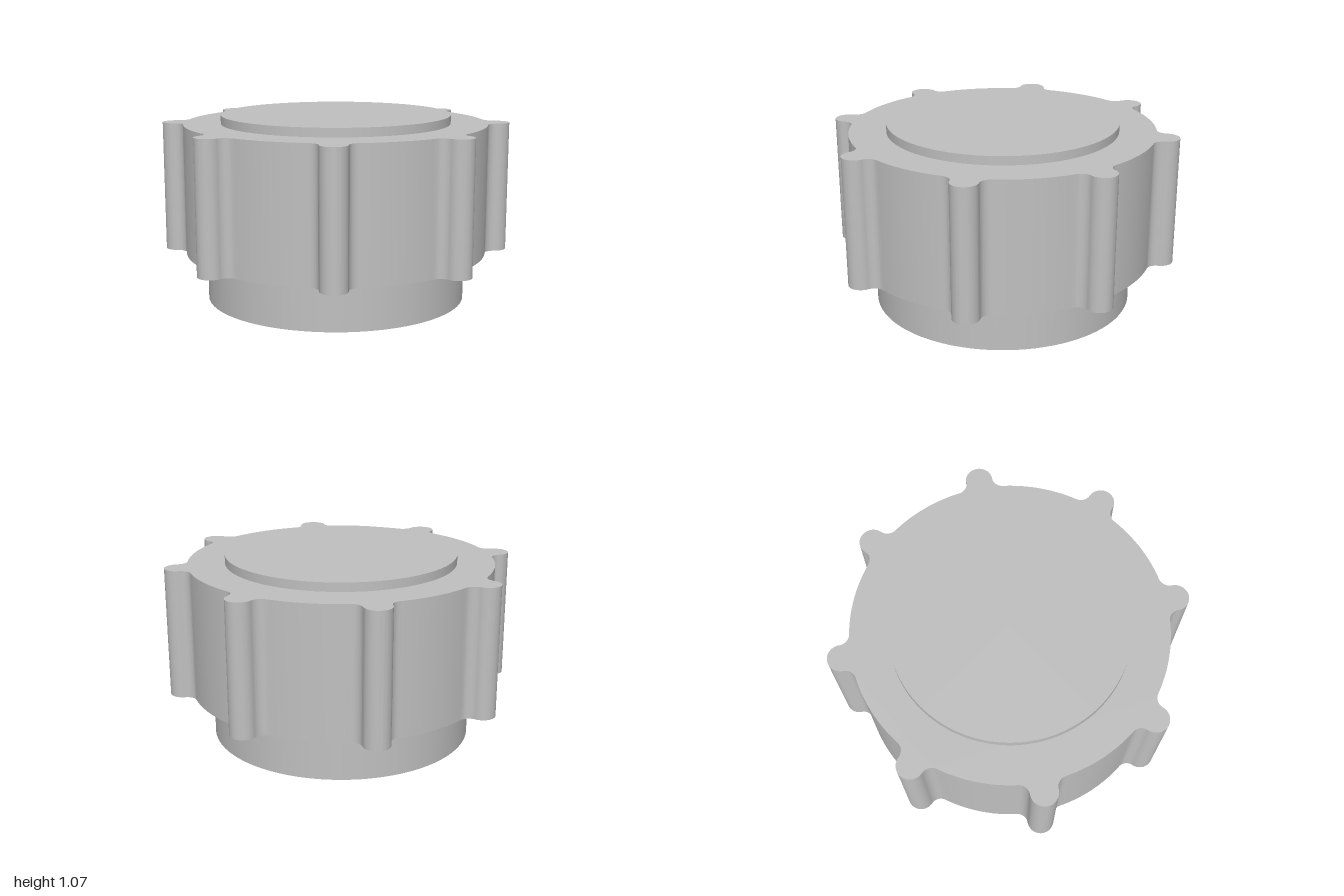
import * as THREE from 'three';
import { toCreasedNormals } from 'three/addons/utils/BufferGeometryUtils.js';

const BODY_RADIUS = 0.872;
const LOBE_RADIUS = 0.075;
const LOBE_CENTRE = 0.925;
const FILLET = 0.06;
const LOBES = 8;

// Outline of the grip: round lobes blended into a disc by concave fillets
function gripOutline() {
  const side = LOBE_RADIUS + FILLET;
  const reach = BODY_RADIUS + FILLET;
  const along = Math.sqrt(reach * reach - side * side);
  const spread = Math.asin(side / reach);
  const shape = new THREE.Shape();
  for (let i = 0; i < LOBES; i++) {
    const a = (i / LOBES) * Math.PI * 2;
    const at = (r, s) => [r * Math.cos(a) - s * Math.sin(a), r * Math.sin(a) + s * Math.cos(a)];
    // fillet into the lobe, lobe tip, fillet back to the disc
    shape.absarc(...at(along, -side), FILLET, a + Math.PI - spread, a + Math.PI / 2, true);
    shape.absarc(...at(LOBE_CENTRE, 0), LOBE_RADIUS, a - Math.PI / 2, a + Math.PI / 2, false);
    shape.absarc(...at(along, side), FILLET, a - Math.PI / 2, a - Math.PI + spread, true);
    // disc edge up to the next lobe
    shape.absarc(0, 0, BODY_RADIUS, a + spread, a + (Math.PI * 2) / LOBES - spread, false);
  }
  return shape;
}

export function createModel() {
  const group = new THREE.Group();
  group.name = 'knob';
  const grey = new THREE.MeshStandardMaterial({ color: 0xc0c0c0 });
  grey.name = 'light grey';

  const add = (name, geometry, y) => {
    const mesh = new THREE.Mesh(geometry, grey);
    mesh.name = name;
    mesh.position.y = y;
    group.add(mesh);
  };
  const disc = (name, radius, bottom, top) =>
    add(name, new THREE.CylinderGeometry(radius, radius, top - bottom, 128), (top + bottom) / 2);

  disc('base', 0.75, 0, 0.275);

  // Lobed grip
  const grip = new THREE.ExtrudeGeometry(gripOutline(), {
    depth: 0.745, bevelEnabled: false, curveSegments: 16,
  });
  grip.rotateX(-Math.PI / 2);
  add('lobedGrip', toCreasedNormals(grip, Math.PI / 5), 0.275);

  disc('raisedTop', 0.66, 1.02, 1.07);
  return group;
}
